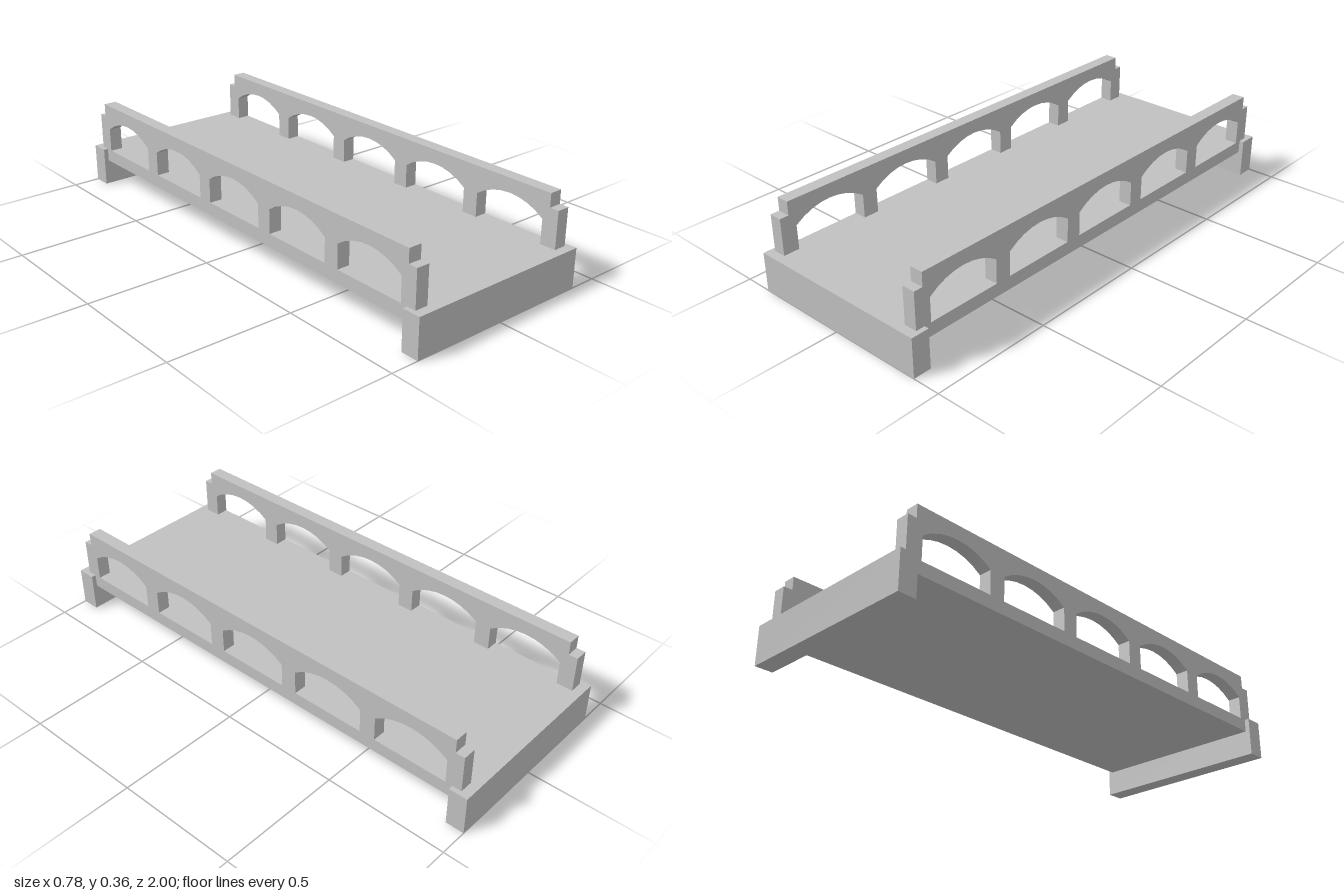
import * as THREE from 'three';

export function createModel() {
  const model = new THREE.Group();
  model.name = 'bridge';
  const stone = new THREE.MeshStandardMaterial({ color: 0xc0c0c0 });
  stone.name = 'grey stone';

  // Box given by its lower and upper corners
  function box(name, parent, [x0, y0, z0], [x1, y1, z1]) {
    const mesh = new THREE.Mesh(new THREE.BoxGeometry(x1 - x0, y1 - y0, z1 - z0), stone);
    mesh.position.set((x0 + x1) / 2, (y0 + y1) / 2, (z0 + z1) / 2);
    mesh.name = name;
    parent.add(mesh);
  }

  const deckTop = 0.158, railBottom = 0.307, railTop = 0.362;
  const inner = 0.316, outer = 0.369, endZ = 0.926;
  const postWidth = 0.066, spacing = 0.372;

  // Deck and end supports
  box('deck', model, [-outer, 0.105, -endZ], [outer, deckTop, endZ]);
  box('frontAbutment', model, [-0.388, 0, endZ], [0.388, deckTop, 1]);
  box('backAbutment', model, [-0.388, 0, -1], [0.388, deckTop, -endZ]);

  // Arch infill between two posts: straight top, faceted segmental arc below
  const half = (spacing - postWidth) / 2, spring = 0.255, rise = 0.05;
  const radius = (half * half + rise * rise) / (2 * rise);
  const sweep = Math.asin(half / radius), segments = 8;
  const profile = new THREE.Shape();
  profile.moveTo(half, railBottom);
  profile.lineTo(-half, railBottom);
  for (let i = 0; i <= segments; i++) {
    const a = sweep * (2 * i / segments - 1);
    profile.lineTo(radius * Math.sin(a), spring + rise - radius + radius * Math.cos(a));
  }
  profile.closePath();
  const archGeometry = new THREE.ExtrudeGeometry(profile, { depth: outer - inner, bevelEnabled: false });
  archGeometry.translate(0, 0, -(outer - inner) / 2);
  archGeometry.rotateY(Math.PI / 2);

  // Parapets: handrail, six posts and five arches on each side
  for (const side of [-1, 1]) {
    const parapet = new THREE.Group();
    parapet.name = side > 0 ? 'leftParapet' : 'rightParapet';
    parapet.position.x = side * (inner + outer) / 2;
    const w = (outer - inner) / 2;
    box('handrail', parapet, [-w, railBottom, -endZ], [w, railTop, endZ]);
    for (let i = 0; i < 6; i++) {
      const z = (i - 2.5) * spacing;
      box('post', parapet, [-w, deckTop, z - postWidth / 2], [w, railBottom, z + postWidth / 2]);
    }
    for (let i = 0; i < 5; i++) {
      const arch = new THREE.Mesh(archGeometry, stone);
      arch.name = 'arch';
      arch.position.z = (i - 2) * spacing;
      parapet.add(arch);
    }
    model.add(parapet);
  }
  return model;
}
